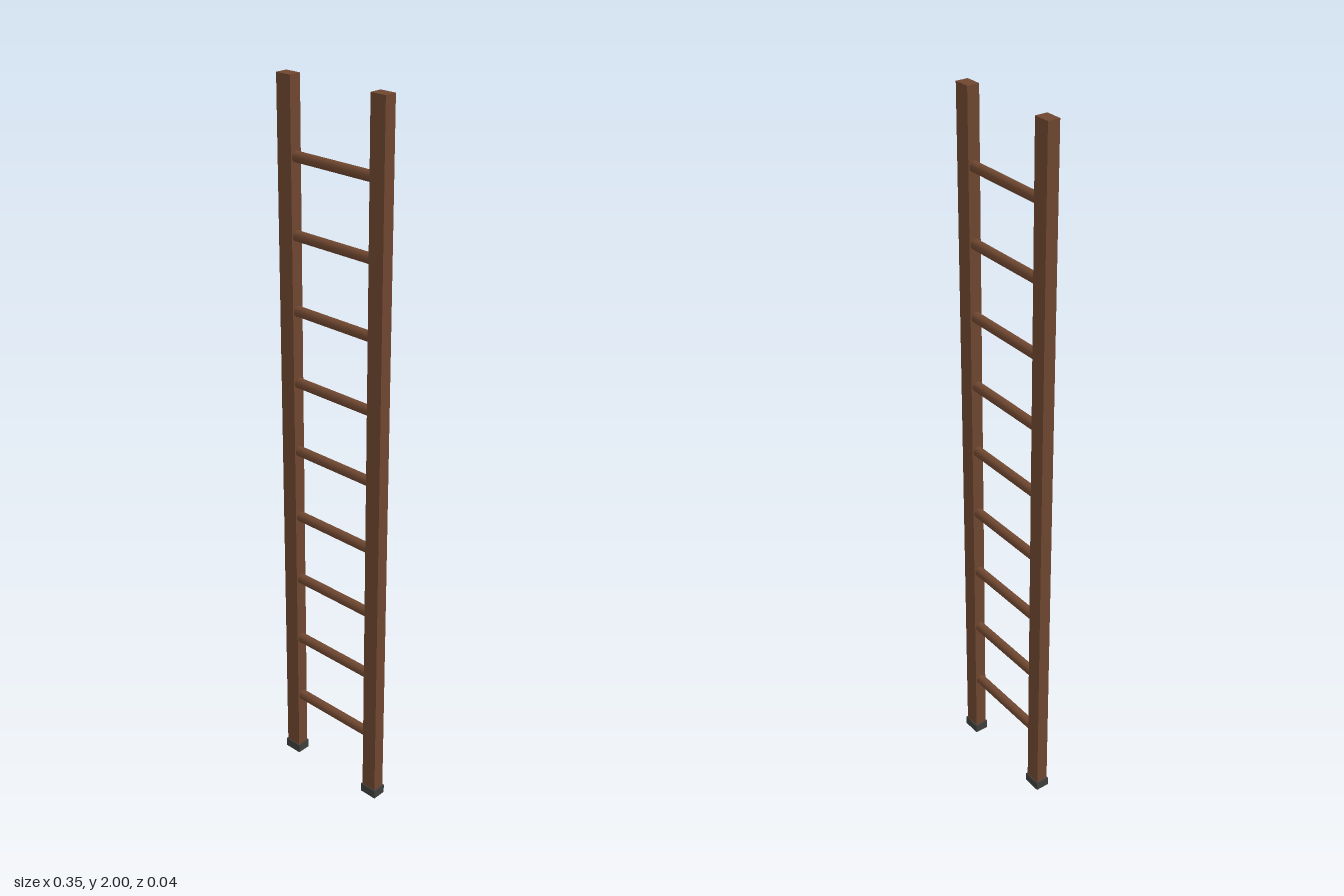
import * as THREE from 'three';

export function createModel() {
  const ladder = new THREE.Group();
  ladder.name = 'ladder';
  const wood = new THREE.MeshStandardMaterial({ color: 0x6f4730 });
  wood.name = 'brown wood';
  const rubber = new THREE.MeshStandardMaterial({ color: 0x3f3f3d });
  rubber.name = 'dark rubber';

  const add = (name, geometry, material, x, y) => {
    const mesh = new THREE.Mesh(geometry, material);
    mesh.name = name;
    mesh.position.set(x, y, 0);
    ladder.add(mesh);
  };

  // Upright rails, each standing in a slightly wider foot
  const footHeight = 0.026;
  const railGeometry = new THREE.BoxGeometry(0.046, 2 - footHeight, 0.034);
  const footGeometry = new THREE.BoxGeometry(0.052, footHeight, 0.04);
  for (const [side, x] of [['left', 0.151], ['right', -0.151]]) {
    add(side + 'Rail', railGeometry, wood, x, 1 + footHeight / 2);
    add(side + 'Foot', footGeometry, rubber, x, footHeight / 2);
  }

  // Nine round rungs, let into the rails at both ends
  const rungGeometry = new THREE.CylinderGeometry(0.014, 0.014, 0.29, 16).rotateZ(Math.PI / 2);
  for (let i = 1; i <= 9; i++) add('rung' + i, rungGeometry, wood, 0, 0.002 + 0.2 * i);

  return ladder;
}
